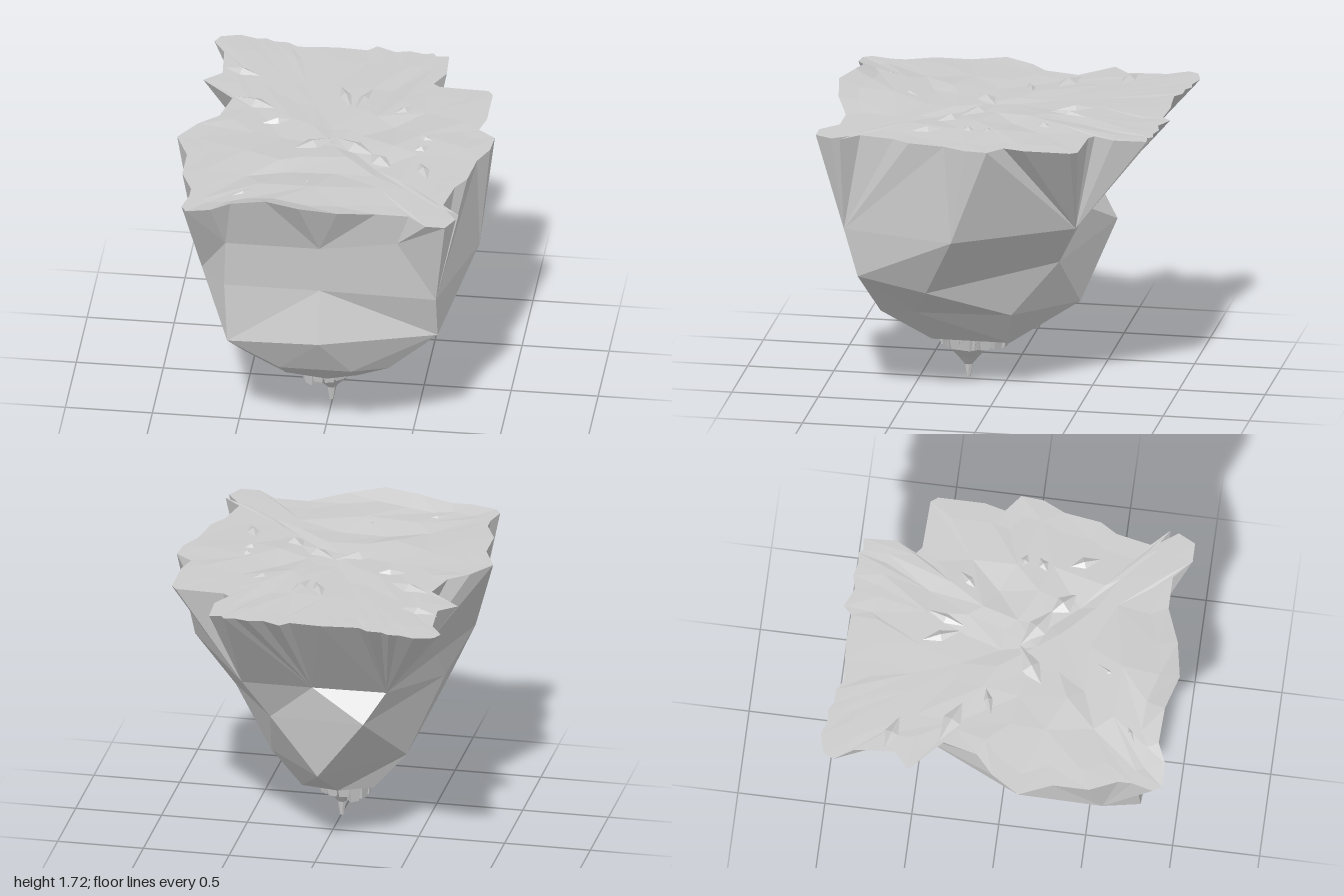
import * as THREE from 'three';

const CZ = 0.15; // z of the axis the rings are sorted around
const TOP = 1.645;

// Rings run clockwise as seen from above; a point may carry its own bearing,
// the place where it takes over the fan of facets reaching up to the ring above
const angle = p => Math.atan2(p.z - CZ, p.x);
const claim = p => p.bearing ?? angle(p);
const sortRing = pts => pts.sort((a, b) => claim(a) - claim(b));
const ring = rows => sortRing(rows.map(([x, y, z, bearing]) =>
  Object.assign(new THREE.Vector3(x, y, z), { bearing })));

// Join an upper and a lower ring of different counts, walking round by angle
function stitch(upper, lower, out) {
  const n = upper.length, m = lower.length;
  const at = (r, k, f) => f(r[k % r.length]) + 2 * Math.PI * Math.floor(k / r.length);
  let i = 0, j = 0;
  while (i < n || j < m) {
    const a = upper[i % n], b = lower[j % m];
    if (j >= m || (i < n && at(upper, i + 1, angle) <= at(lower, j + 1, claim))) out.push(a, upper[++i % n], b);
    else out.push(a, lower[++j % m], b);
  }
}

function facetMesh(name, rings, material) {
  const tris = [];
  for (let k = 0; k + 1 < rings.length; k++) stitch(rings[k], rings[k + 1], tris);
  const geo = new THREE.BufferGeometry().setFromPoints(tris);
  geo.computeVertexNormals();
  const mesh = new THREE.Mesh(geo, material);
  mesh.name = name;
  return mesh;
}

// Ragged coastline as x, z pairs
const COAST = [
  -0.82, -0.91, -0.79, -0.97, -0.68, -1.0, -0.58, -0.97, -0.53, -0.98, -0.48, -0.95, -0.4, -0.95,
  -0.34, -0.91, -0.22, -0.92, -0.12, -0.93, 0.06, -0.92, 0.11, -0.97, 0.22, -0.92, 0.3, -0.94,
  0.38, -0.92, 0.44, -0.93, 0.46, -0.9, 0.53, -0.91, 0.54, -0.72, 0.48, -0.6, 0.52, -0.57,
  0.8, -0.56, 0.83, -0.52, 0.83, -0.25, 0.8, -0.13, 0.9, -0.05, 0.89, 0.08, 0.83, 0.21,
  0.8, 0.42, 0.74, 0.52, 0.7, 0.72, 0.72, 0.77, 0.8, 0.82, 0.79, 0.87, 0.74, 0.97,
  0.63, 0.97, 0.52, 0.87, 0.33, 0.87, 0.12, 0.95, -0.1, 0.99, -0.3, 0.93, -0.5, 0.92,
  -0.61, 0.97, -0.75, 0.97, -0.78, 0.92, -0.75, 0.8, -0.75, 0.72, -0.82, 0.56, -0.82, 0.35,
  -0.9, 0.16, -0.8, 0, -0.69, -0.1, -0.64, -0.3, -0.83, -0.48, -0.73, -0.57, -0.75, -0.8,
];

// The coast stays level except for a raised lip at the front
function coastRing() {
  const pts = [];
  for (let i = 0; i < COAST.length; i += 2) {
    const x = COAST[i], z = COAST[i + 1];
    const lip = z > 0.85 ? 0.08 * Math.min(1, Math.max(0, 1.15 - Math.abs(x + 0.2) / 0.45)) : 0;
    pts.push(new THREE.Vector3(x, TOP + lip, z));
  }
  return sortRing(pts);
}

// Rock rings from just below the coast down to the blunt underside
const ROCK = [
  [[0.67, 1.07, 0.82, 0.1], [0.45, 1.44, 0.84, 0.9], [0, 1.36, 0.82, 1.15], [-0.54, 1.36, 0.82, 1.94],
    [-0.7, 1.07, 0.62, 2.37], [-0.41, 1.07, -0.47, -3.1], [0.02, 1.07, -0.48], [0.43, 1.07, -0.48, -1.17],
    [0.84, 1.07, 0.17, -0.2]],
  [[0.67, 1.07, 0.82], [0, 1.07, 0.8], [-0.55, 1.07, 0.8], [-0.7, 1.07, 0.62], [-0.55, 1.12, 0.17],
    [-0.41, 1.07, -0.47], [-0.3, 0.91, -0.59], [0.02, 1.07, -0.48], [0.43, 1.07, -0.48], [0.84, 1.07, 0.17]],
  [[0.67, 0.79, 0.74], [0, 0.75, 0.87], [-0.53, 0.71, 0.82], [-0.57, 0.84, 0.4],
    [-0.3, 0.91, -0.59], [0.29, 0.82, -0.36], [0.64, 0.7, 0.35]],
  [[0.38, 0.5, 0.66], [0.17, 0.5, 0.73], [-0.24, 0.5, 0.73], [-0.43, 0.5, 0.6], [-0.43, 0.5, 0],
    [0, 0.5, -0.43], [0.34, 0.5, -0.09], [0.38, 0.5, 0.46]],
  [[0.17, 0.28, 0.4], [0, 0.28, 0.46], [-0.24, 0.28, 0.42], [-0.24, 0.28, 0], [-0.05, 0.28, -0.09],
    [0.17, 0.28, -0.05]],
  [[0, 0.27, CZ + 0.01]],
];

export function createModel() {
  const island = new THREE.Group();
  island.name = 'floatingIsland';
  const mat = new THREE.MeshStandardMaterial({ color: 0xcccccc, flatShading: true, side: THREE.DoubleSide });
  let seed = 7;
  const rand = () => (seed = (seed * 16807) % 2147483647) / 2147483647;
  const coast = coastRing();

  // Rocky underside
  island.add(facetMesh('rockBody', [coast, ...ROCK.map(ring)], mat));

  // Gently uneven ground: inner rings of the coast, coarser toward the middle
  const ground = [coast];
  for (const [f, step, rough] of [[0.86, 1, 0.008], [0.6, 3, 0.025], [0.38, 4, 0.03], [0.18, 7, 0.02]]) {
    ground.unshift(coast.filter((_, i) => i % step === 0).map(p =>
      new THREE.Vector3(p.x * f, TOP + (p.y - TOP) * f * 0.5 + rough * (rand() - 0.4), CZ + (p.z - CZ) * f)));
  }
  ground.unshift([new THREE.Vector3(0.001, TOP, CZ)]);
  island.add(facetMesh('ground', ground, mat));

  // Low ridges and shards on the ground: x, z, length, width, turn
  const shards = [
    [0.0, -0.4, 0.3, 0.09, -1.2], [0.11, -0.38, 0.34, 0.09, 1.25], [0.35, -0.28, 0.24, 0.1, 0.8],
    [0.51, 0.02, 0.16, 0.1, -0.3], [0.5, 0.13, 0.16, 0.1, 0.6], [0.28, 0.27, 0.2, 0.12, -0.8],
    [0.54, 0.36, 0.24, 0.1, -1.2], [-0.35, -0.08, 0.2, 0.06, 0.3], [-0.12, 0.14, 0.34, 0.13, 0.6],
    [0.12, 0.14, 0.34, 0.13, -0.6], [-0.5, -0.27, 0.32, 0.12, -0.4], [-0.62, -0.6, 0.26, 0.1, -0.3],
    [-0.1, 0.58, 0.25, 0.08, 1.0], [-0.45, 0.75, 0.26, 0.08, 0.5],
  ];
  for (const [x, z, len, wide, turn] of shards) {
    const shard = new THREE.Mesh(new THREE.ConeGeometry(0.5, 0.03, 4), mat);
    shard.name = 'groundShard';
    shard.scale.set(len, 1, wide);
    shard.rotation.y = turn;
    shard.position.set(x, TOP + 0.01, z);
    island.add(shard);
  }

  // Small stepped blocks hanging around the root, longer on the right
  for (let i = 0; i < 14; i++) {
    const a = (i / 14) * Math.PI * 2;
    const h = Math.cos(a) < -0.5 ? 0.12 : 0.08;
    const block = new THREE.Mesh(new THREE.CylinderGeometry(0.055, 0.035, h, 4), mat);
    block.name = 'rootBlock';
    block.position.set(-0.03 + 0.12 * Math.cos(a), 0.285 - h / 2, 0.19 + 0.17 * Math.sin(a));
    block.rotation.y = Math.PI / 4 - a;
    island.add(block);
  }

  // Tapering root and its thin tip
  const profile = [[0.002, 0], [0.012, 0.005], [0.026, 0.09], [0.07, 0.14], [0.13, 0.2], [0.15, 0.28]];
  const root = new THREE.Mesh(
    new THREE.LatheGeometry(profile.map(([r, y]) => new THREE.Vector2(r, y)), 7), mat);
  root.name = 'rootTip';
  root.position.set(-0.005, 0, 0.22);
  island.add(root);

  return island;
}
